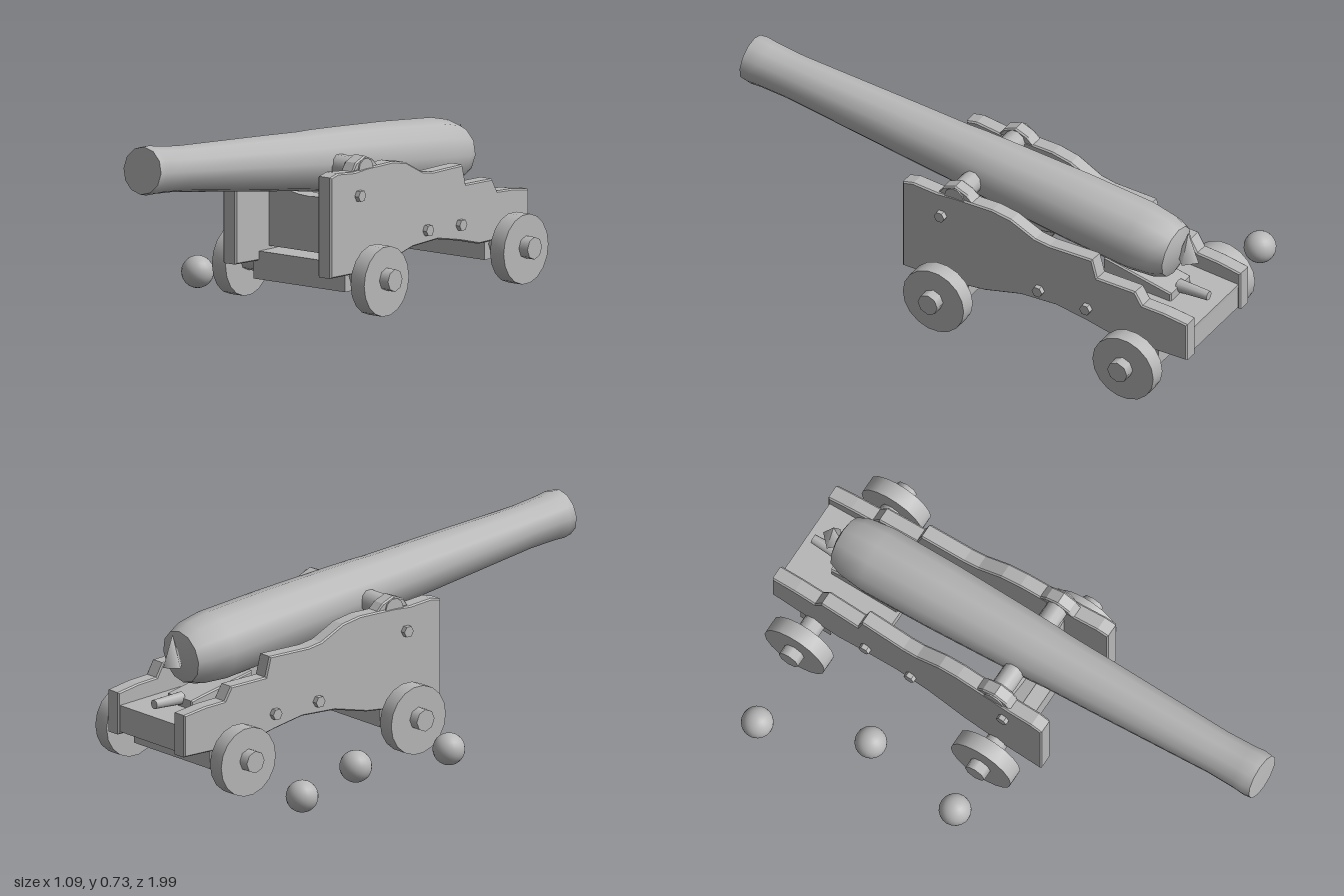
import * as THREE from 'three';
import { toCreasedNormals } from 'three/addons/utils/BufferGeometryUtils.js';

export function createModel() {
  const root = new THREE.Group();
  root.name = 'cannon';
  const iron = new THREE.MeshStandardMaterial({ color: 0xb8b8b8 });
  iron.name = 'grey';
  const CX = 0.147; // centre line of the carriage

  function add(name, geo, x = 0, y = 0, z = 0, parent = root) {
    const m = new THREE.Mesh(geo, iron);
    m.name = name;
    m.position.set(x, y, z);
    parent.add(m);
    return m;
  }
  // cylinder lying along x, with sharp rims
  const rod = (r, len, sides) =>
    toCreasedNormals(new THREE.CylinderGeometry(r, r, len, sides).rotateZ(Math.PI / 2), 0.8);
  // extruded plate: profile given as [z, y], thickness along x
  function plate(points, thick) {
    const shape = new THREE.Shape(points.map(([z, y]) => new THREE.Vector2(-z, y)));
    const g = new THREE.ExtrudeGeometry(shape, {
      depth: thick - 0.012, bevelThickness: 0.006, bevelSize: 0.005, bevelOffset: -0.005, bevelSegments: 1,
    });
    return g.translate(0, 0, 0.006 - thick / 2).rotateY(Math.PI / 2);
  }

  // Barrel: tapered tube with a closed muzzle, tilted up
  const profile = [
    [0, -0.85], [0.06, -0.845], [0.1, -0.83], [0.12, -0.78], [0.132, -0.68], [0.129, -0.4],
    [0.12, -0.12], [0.114, 0.03], [0.109, 0.1], [0.103, 0.3], [0.085, 0.8],
    [0.088, 0.92], [0.092, 0.96], [0.088, 0.992], [0, 0.994],
  ].map(([r, a]) => new THREE.Vector2(r, a));
  const barrelGeo = toCreasedNormals(new THREE.LatheGeometry(profile, 12), 0.7);
  const barrel = add('barrel', barrelGeo, 0.155, 0.538, 0);
  barrel.rotation.x = Math.PI / 2 - 0.108;

  // Pointed stub behind the breech
  add('cascabel', new THREE.ConeGeometry(0.045, 0.12, 4), 0.147, 0.485, -0.872);

  // Trunnions and their caps
  add('trunnion', rod(0.042, 0.49, 10), CX, 0.53, -0.02);

  // Stepped side cheeks, converging toward the rear
  const cheekProfile = [
    [0.195, 0.155], [0.195, 0.53], [0.15, 0.54], [0.05, 0.53], [-0.02, 0.535], [-0.18, 0.535],
    [-0.26, 0.52], [-0.36, 0.47], [-0.42, 0.46], [-0.6, 0.46], [-0.62, 0.385], [-0.78, 0.38],
    [-0.81, 0.33], [-0.9, 0.325], [-0.998, 0.31], [-0.998, 0.15], [-0.7, 0.15],
    [-0.58, 0.18], [-0.45, 0.205], [-0.3, 0.2], [-0.15, 0.165], [0, 0.15],
  ];
  for (const s of [-1, 1]) {
    const side = s > 0 ? 'left' : 'right';
    const geo = plate(cheekProfile, 0.062);
    const p = geo.attributes.position;
    for (let i = 0; i < p.count; i++) p.setX(i, p.getX(i) + s * (0.187 + 0.03 * (p.getZ(i) + 1)));
    geo.computeVertexNormals();
    add(side + 'Cheek', geo, CX);

    const cap = plate([[0.05, 0.53], [0.03, 0.56], [-0.02, 0.58], [-0.07, 0.56], [-0.1, 0.53]], 0.055);
    add(side + 'TrunnionCap', cap, CX + s * 0.212);
    // bolts on the outer face
    for (const [z, y] of [[0.03, 0.44], [-0.38, 0.25], [-0.58, 0.24]])
      add(side + 'Bolt', rod(0.022, 0.03, 6), CX + s * (0.228 + 0.03 * (z + 0.8)), y, z);
  }

  // Front transom with a hollowed top for the barrel
  const t = new THREE.Shape();
  t.moveTo(-0.19, 0.2);
  t.lineTo(0.19, 0.2);
  t.lineTo(0.19, 0.45);
  t.quadraticCurveTo(0, 0.36, -0.19, 0.45);
  add('frontTransom', new THREE.ExtrudeGeometry(t, { depth: 0.07, bevelEnabled: false, curveSegments: 8 }), CX, 0, -0.06);

  // Sloping bed and rear floor
  add('bed', new THREE.BoxGeometry(0.34, 0.04, 0.45), CX, 0.25, -0.765).rotation.x = -0.04;
  add('rearTransom', new THREE.BoxGeometry(0.36, 0.1, 0.06), CX, 0.21, -0.96);

  // Elevating wedge with handle
  add('wedge', plate([[-0.55, 0.26], [-0.55, 0.36], [-0.84, 0.3], [-0.84, 0.26]], 0.14), CX);
  add('wedgeHandle', new THREE.CylinderGeometry(0.025, 0.018, 0.13, 8).rotateX(Math.PI / 2), CX, 0.295, -0.895);

  // Axles and wheels
  for (const [name, z] of [['front', 0], ['rear', -0.81]]) {
    const set = new THREE.Group();
    set.name = name + 'Axle';
    set.position.set(CX, 0.13, z);
    root.add(set);
    add('axleTree', new THREE.BoxGeometry(0.43, 0.105, 0.13), 0, 0.005, 0, set);
    add('axleRod', rod(0.042, 0.795, 8), 0, 0.008, 0, set);
    for (const s of [-1, 1]) add('wheel', rod(0.13, 0.064, 18), s * 0.325, 0, 0, set);
  }

  // Cannonballs on the ground
  for (const [x, z] of [[-0.49, -0.79], [-0.33, -0.4], [-0.382, 0]])
    add('cannonball', new THREE.SphereGeometry(0.06, 20, 14), x, 0.061, z);

  return root;
}
